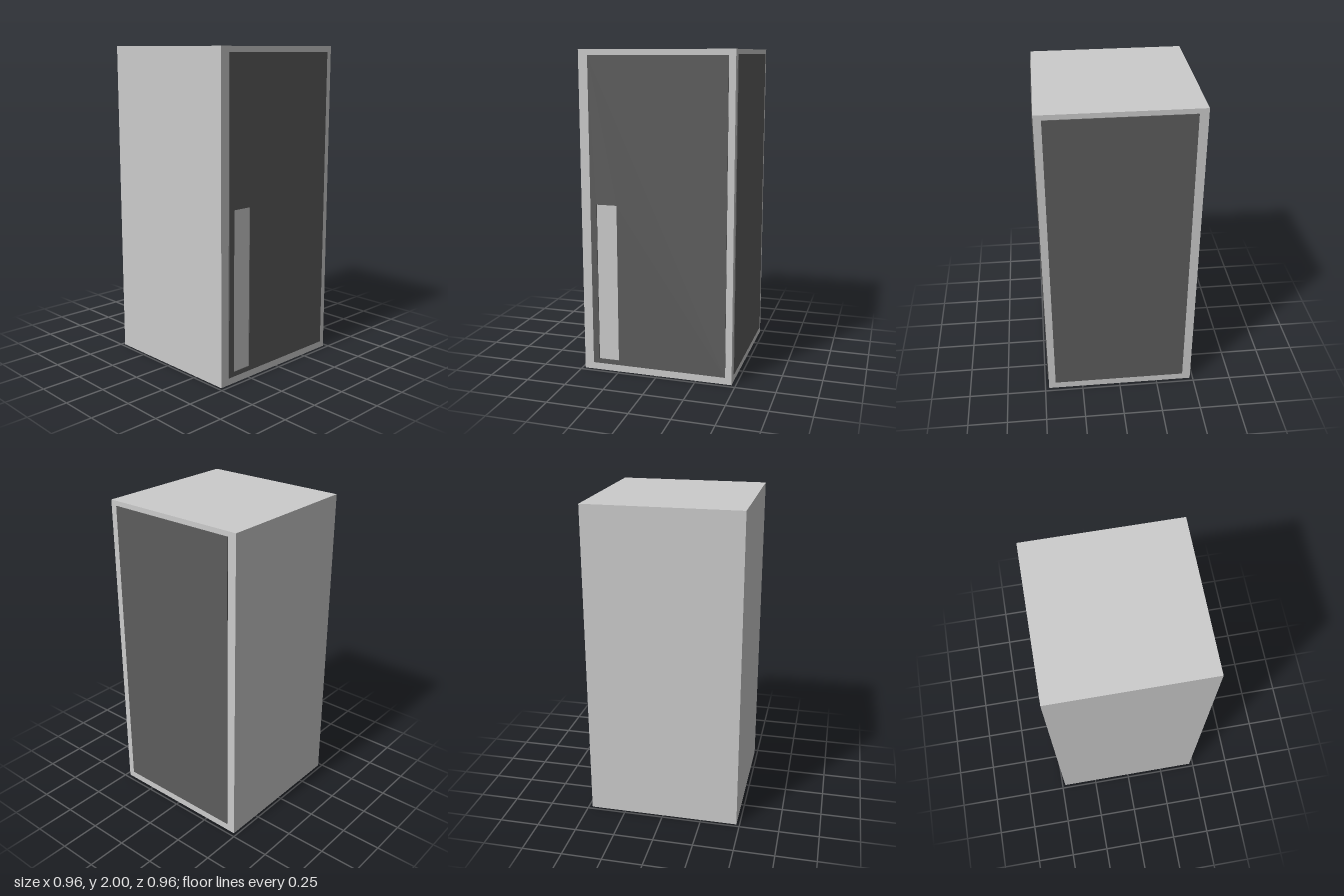
import * as THREE from 'three';

const grey = new THREE.MeshStandardMaterial({ color: 0xcccccc });
const dark = new THREE.MeshStandardMaterial({ color: 0x5c5c5c });

// Rectangle outline from two corners
function rect(Path, x0, y0, x1, y1) {
  const p = new Path();
  p.moveTo(x0, y0);
  p.lineTo(x1, y0);
  p.lineTo(x1, y1);
  p.lineTo(x0, y1);
  p.closePath();
  return p;
}

// Thin sheet lying in the xy plane, facing +z
function panel(name, shape) {
  const geometry = new THREE.ExtrudeGeometry(shape, { depth: 0.01, bevelEnabled: false });
  const mesh = new THREE.Mesh(geometry, dark);
  mesh.name = name;
  return mesh;
}

export function createModel() {
  const group = new THREE.Group();
  group.name = 'cabinet';

  // Tall square cabinet, its panels standing just proud of two faces
  const body = new THREE.Mesh(new THREE.BoxGeometry(0.955, 2, 0.955), grey);
  body.name = 'body';
  body.position.set(-0.0025, 1, -0.0025);
  group.add(body);

  // Front door sheet with a tall slot that leaves the body visible
  const doorShape = rect(THREE.Shape, -0.42, 0.045, 0.435, 1.965);
  doorShape.holes.push(rect(THREE.Path, -0.38, 0.075, -0.25, 1.07));
  const door = panel('frontPanel', doorShape);
  door.position.z = 0.47;
  group.add(door);

  // Plain sheet on the left side
  const side = panel('sidePanel', rect(THREE.Shape, -0.43, 0.05, 0.425, 1.97));
  side.rotation.y = Math.PI / 2;
  side.position.x = 0.47;
  group.add(side);

  return group;
}
